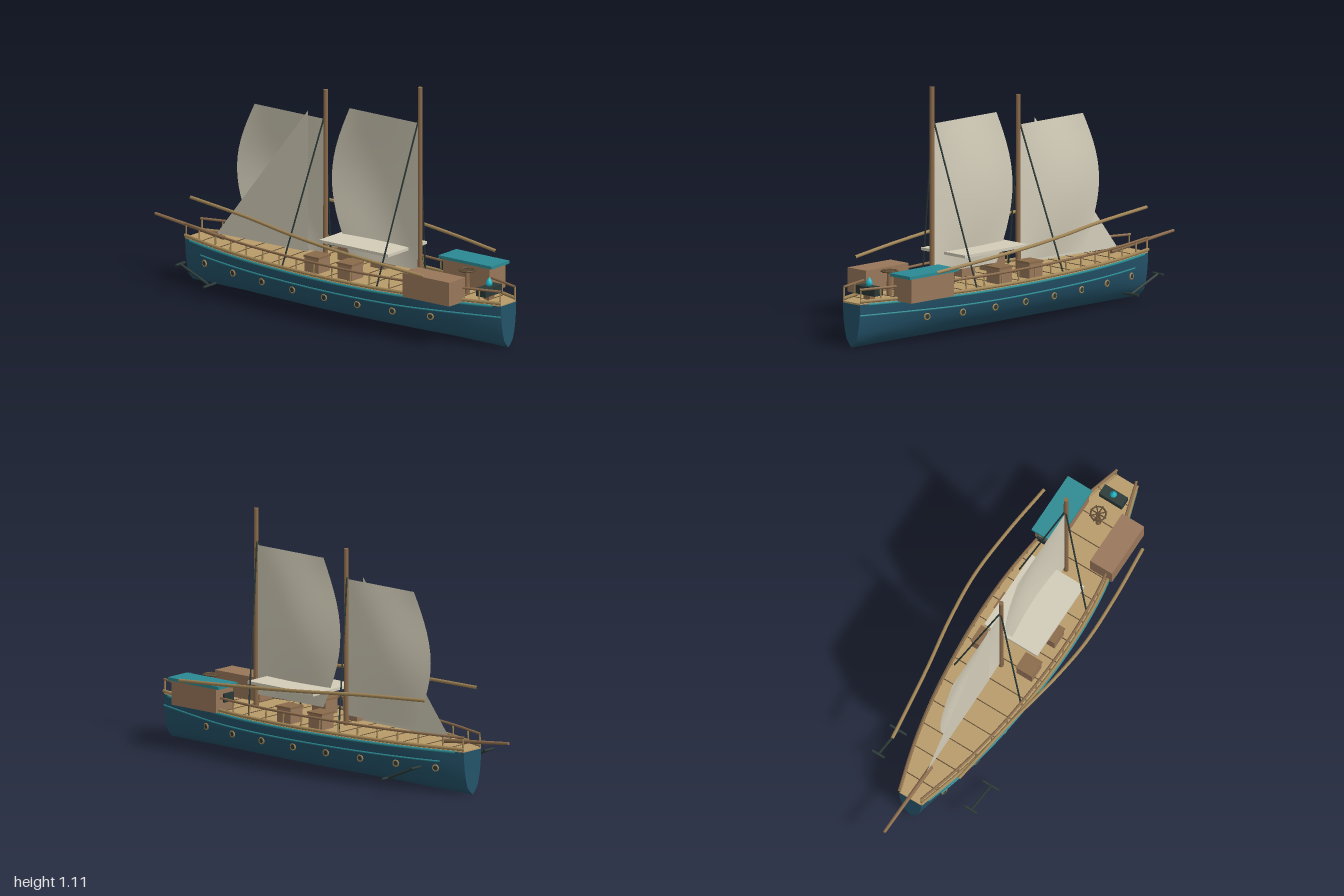
import * as THREE from 'three';

const mat = (name, color, side = THREE.FrontSide) => {
  const m = new THREE.MeshStandardMaterial({ color, side });
  m.name = name;
  return m;
};

export function createModel() {
  const hullBlue = mat('hull blue', 0x24536a);
  const teal = mat('teal trim', 0x2b8a93);
  const deckTan = mat('deck tan', 0xb89b6a);
  const railTan = mat('rail tan', 0xa08455);
  const mastBrown = mat('mast brown', 0x8a6a4a);
  const boxBrown = mat('crate brown', 0x99775a);
  const canvas = mat('canvas', 0xd2ccb8, THREE.DoubleSide);
  const iron = mat('dark iron', 0x2a3836);
  const seamBrown = mat('seam brown', 0x5e4a33);
  const glow = mat('bright crystal', 0x22b8c8);

  const boat = new THREE.Group();
  boat.name = 'sailingBoat';
  const V = (x, y, z) => new THREE.Vector3(x, y, z);
  const add = (name, geo, material, x = 0, y = 0, z = 0) => {
    const m = new THREE.Mesh(geo, material);
    m.name = name;
    m.position.set(x, y, z);
    boat.add(m);
    return m;
  };
  const box = (name, m, w, h, d, x, y, z) => add(name, new THREE.BoxGeometry(w, h, d), m, x, y, z);
  const rod = (name, m, a, b, r, r2 = r, sides = 10) => {
    const dir = b.clone().sub(a);
    const mesh = add(name, new THREE.CylinderGeometry(r2, r, dir.length(), sides), m);
    mesh.position.copy(a).add(b).multiplyScalar(0.5);
    mesh.quaternion.setFromUnitVectors(V(0, 1, 0), dir.normalize());
    return mesh;
  };
  const tube = (name, m, pts, r, n = 40) =>
    add(name, new THREE.TubeGeometry(new THREE.CatmullRomCurve3(pts), n, r, 8), m);

  // Plan outline: half width along the length, bow (t = 0) to stern (t = 1)
  const Z0 = -0.785, LEN = 1.785;
  const widths = [0.058, 0.125, 0.172, 0.2, 0.214, 0.211, 0.185, 0.125, 0.055];
  const plan = new THREE.SplineCurve(widths.map((w, i) => new THREE.Vector2(Z0 + LEN * i / 8, w)));
  const at = (t) => { const p = plan.getPoint(t); return { z: p.x, w: p.y }; };
  const tOf = (z) => (z - Z0) / LEN;

  // Hull skin from cross-sections
  const half = [[1, 0.2], [0.96, 0.155], [0.88, 0.11], [0.75, 0.07], [0.56, 0.035], [0.28, 0.015], [0, 0]];
  const section = [...half, ...half.slice(0, -1).reverse().map(([f, y]) => [-f, y])];
  const N = 40, C = section.length, pos = [], idx = [];
  for (let i = 0; i <= N; i++) {
    const { z, w } = at(i / N);
    for (const [f, y] of section) pos.push(f * w, y, z);
  }
  for (let i = 0; i < N; i++) for (let j = 0; j < C - 1; j++) {
    const a = i * C + j, b = a + C;
    idx.push(a, b, a + 1, b, b + 1, a + 1);
  }
  const skin = new THREE.BufferGeometry();
  skin.setAttribute('position', new THREE.Float32BufferAttribute(pos, 3));
  skin.setIndex(idx);
  skin.computeVertexNormals();
  add('hull', skin, hullBlue);

  // Flat ends of the hull
  for (const t of [0, 1]) {
    const { z, w } = at(t);
    const end = new THREE.Shape(section.map(([f, y]) => new THREE.Vector2(f * w, y)));
    add(t ? 'transom' : 'bowPlate', new THREE.ShapeGeometry(end), hullBlue, 0, 0, z).rotation.y = t ? 0 : Math.PI;
  }

  // Deck with cross seams
  const edge = [];
  for (let i = 0; i <= N; i++) { const p = at(i / N); edge.push(new THREE.Vector2(p.w * 0.99, -p.z)); }
  const outline = [...edge, ...edge.map((p) => new THREE.Vector2(-p.x, p.y)).reverse()];
  const deckGeo = new THREE.ExtrudeGeometry(new THREE.Shape(outline), { depth: 0.008, bevelEnabled: false });
  add('deck', deckGeo.rotateX(-Math.PI / 2), deckTan, 0, 0.197, 0);
  for (let i = 1; i < 16; i++) {
    const { z, w } = at(i / 16);
    box('deckSeam', seamBrown, w * 1.9, 0.002, 0.004, 0, 0.206, z);
  }

  // Rails, trim, portholes on both sides
  const along = (s, t0, t1, f, off, y) => Array.from({ length: 25 }, (_, i) => {
    const { z, w } = at(t0 + (t1 - t0) * i / 24);
    return V(s * (w * f + off), y, z);
  });
  for (const s of [-1, 1]) {
    tube('toeRail', railTan, along(s, 0, 1, 0.98, 0, 0.214), 0.008);
    tube('topRail', mastBrown, along(s, 0, 1, 0.93, 0, 0.267), 0.006);
    tube('rubRail', teal, along(s, 0.03, 0.97, 1, 0.001, 0.198), 0.006);
    tube('hullStripe', teal, along(s, 0.07, 1, 0.952, 0.001, 0.149), 0.004);
    for (let i = 0; i <= 17; i++) {
      const { z, w } = at(0.006 + 0.988 * i / 17);
      rod('railPost', railTan, V(s * w * 0.95, 0.205, z), V(s * w * 0.93, 0.267, z), 0.004, 0.004, 6);
    }
    for (let i = 0; i < 8; i++) {
      const z = 0.67 - 0.187 * i, t = tOf(z), p = at(t), q = at(t + 0.01);
      const yaw = Math.atan2(-(q.w - p.w), q.z - p.z);
      const hole = new THREE.Group();
      hole.name = 'porthole';
      const ring = new THREE.Mesh(new THREE.TorusGeometry(0.013, 0.004, 8, 18), railTan);
      ring.name = 'portholeRing';
      const glass = new THREE.Mesh(new THREE.CylinderGeometry(0.012, 0.012, 0.006, 16).rotateX(Math.PI / 2), iron);
      glass.name = 'portholeGlass';
      hole.add(ring, glass);
      hole.position.set(s * (p.w * 0.9 + 0.002), 0.116, p.z);
      hole.rotation.y = s * (Math.PI / 2 - yaw);
      boat.add(hole);
    }

    // Long curved side poles
    tube('sidePole', railTan, [V(s * 0.26, 0.337, 0.725), V(s * 0.285, 0.362, 0.46), V(s * 0.294, 0.385, 0.2),
      V(s * 0.27, 0.402, -0.04), V(s * 0.225, 0.42, -0.3), V(s * 0.175, 0.438, -0.66)], 0.008);

    // Anchors hanging beside the bow
    const low = V(s * 0.244, 0.075, -0.5), high = V(s * 0.244, 0.145, -0.665);
    rod('anchorShank', iron, low, high, 0.006);
    rod('anchorArms', iron, V(s * 0.201, 0.075, -0.5), V(s * 0.287, 0.075, -0.5), 0.006);
    rod('anchorStock', iron, V(s * 0.212, 0.145, -0.665), V(s * 0.276, 0.145, -0.665), 0.006);

    // Deck crates
    for (const z of [0.01, 0.197]) {
      box('crate', boxBrown, 0.08, 0.07, 0.08, s * 0.118, 0.238, z);
      box('crateLid', mastBrown, 0.087, 0.009, 0.087, s * 0.118, 0.276, z);
    }

    // Shrouds
    rod('mainShroud', iron, V(0, 0.975, 0.495), V(s * 0.175, 0.205, 0.39), 0.004, 0.004, 6);
    rod('foreShroud', iron, V(0, 0.89, -0.04), V(s * 0.175, 0.205, -0.145), 0.004, 0.004, 6);
  }

  // Masts and bowsprit
  rod('mainMast', mastBrown, V(0, 0.2, 0.5), V(0, 1.112, 0.5), 0.0115, 0.0105, 14);
  rod('foreMast', mastBrown, V(0, 0.2, -0.035), V(0, 1.007, -0.035), 0.0115, 0.0105, 14);
  rod('bowsprit', mastBrown, V(0, 0.22, -0.61), V(0, 0.264, -0.999), 0.01, 0.007);

  // Billowing sails
  const sail = (name, zMast, width, belly, top, bottom) => {
    const g = new THREE.PlaneGeometry(1, 1, 14, 14), p = g.attributes.position;
    for (let i = 0; i < p.count; i++) {
      const u = p.getX(i) + 0.5, v = p.getY(i) + 0.5, arc = Math.sin(Math.PI * v);
      p.setXYZ(i, 0.034 * Math.sin(Math.PI * u) * arc, bottom + (top - bottom) * v, zMast - u * (width + belly * arc));
    }
    g.computeVertexNormals();
    add(name, g, canvas);
  };
  sail('mainSail', 0.488, 0.388, 0.1, 0.945, 0.265);
  sail('foreSail', -0.047, 0.39, 0.1, 0.87, 0.25);
  const jib = new THREE.BufferGeometry().setFromPoints([V(0, 0.893, -0.135), V(0, 0.24, -0.135), V(0, 0.235, -0.65)]);
  jib.computeVertexNormals();
  add('jib', jib, canvas);

  // Flat canopy amidships
  box('canopy', canvas, 0.278, 0.013, 0.39, -0.002, 0.352, 0.235);

  // Stern lockers
  box('rightLocker', boxBrown, 0.115, 0.11, 0.265, -0.146, 0.257, 0.692);
  box('leftCabin', boxBrown, 0.115, 0.11, 0.265, 0.144, 0.257, 0.692);
  box('cabinLid', teal, 0.128, 0.014, 0.3, 0.144, 0.319, 0.69);
  box('cabinWindow', iron, 0.065, 0.04, 0.009, 0.144, 0.27, 0.537);

  // Steering wheel lying flat on its column
  rod('wheelColumn', mastBrown, V(0, 0.2, 0.765), V(0, 0.315, 0.765), 0.014, 0.01);
  add('wheelRim', new THREE.TorusGeometry(0.034, 0.004, 8, 24).rotateX(Math.PI / 2), seamBrown, 0, 0.315, 0.765);
  for (let i = 0; i < 4; i++) {
    const a = i * Math.PI / 4, c = Math.cos(a) * 0.041, d = Math.sin(a) * 0.041;
    rod('wheelSpoke', seamBrown, V(-c, 0.315, 0.765 - d), V(c, 0.315, 0.765 + d), 0.003, 0.003, 6);
  }

  // Stern console with glowing crystal
  box('consoleBase', mastBrown, 0.04, 0.025, 0.03, 0, 0.215, 0.89);
  box('console', iron, 0.12, 0.038, 0.052, 0, 0.245, 0.89);
  const drop = [[0, 0], [0.012, 0.004], [0.016, 0.016], [0.01, 0.03], [0, 0.043]].map(([r, y]) => new THREE.Vector2(r, y));
  add('crystal', new THREE.LatheGeometry(drop, 10), glow, 0, 0.262, 0.89);

  return boat;
}
